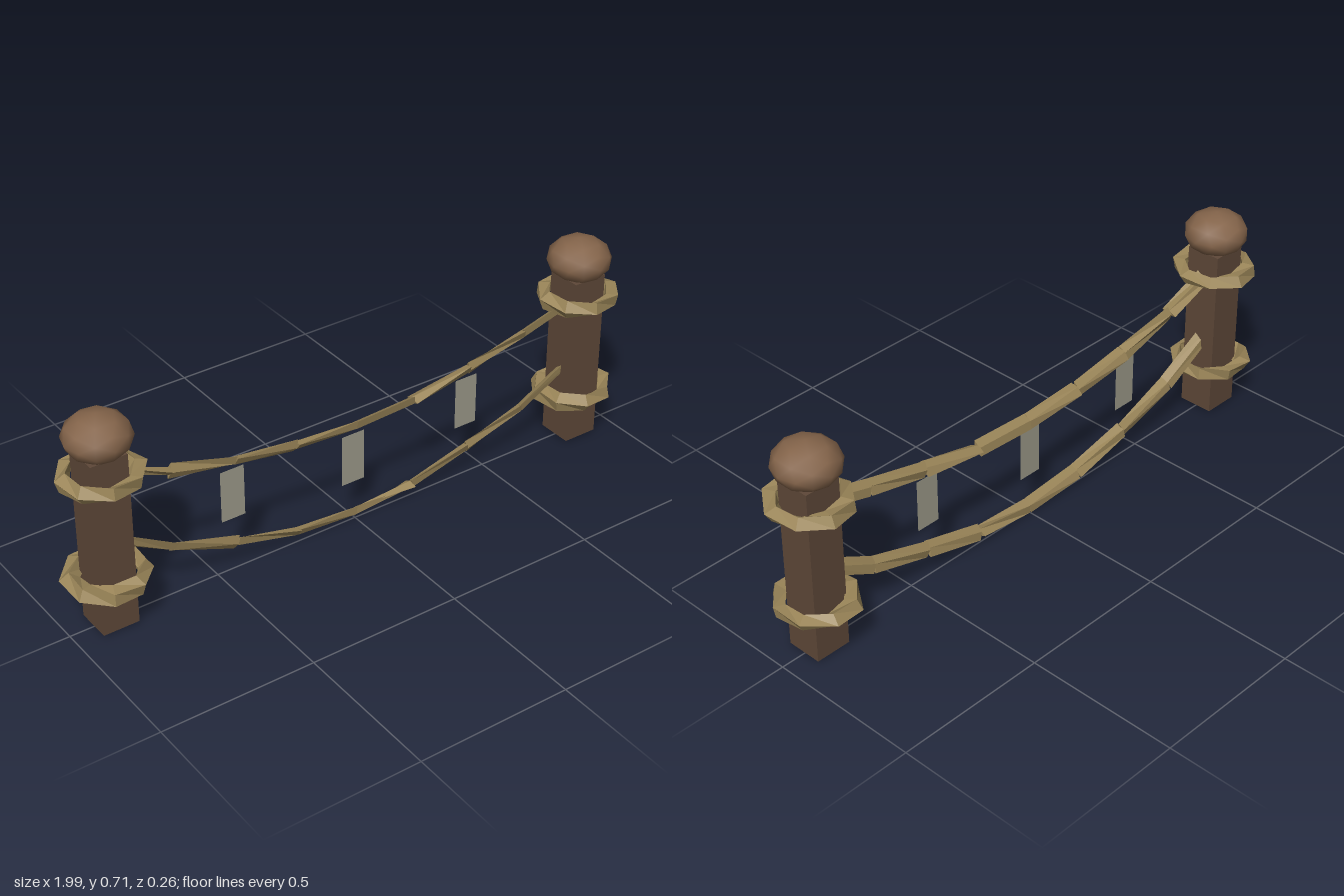
import * as THREE from 'three';

const postWood = new THREE.MeshStandardMaterial({ color: 0x5e4838 });
const knobWood = new THREE.MeshStandardMaterial({ color: 0x84644a });
const ropeTan = new THREE.MeshStandardMaterial({ color: 0x9a8558 });
const paper = new THREE.MeshStandardMaterial({ color: 0x9b9989, side: THREE.DoubleSide });
postWood.name = 'post wood';
knobWood.name = 'knob wood';
ropeTan.name = 'rope tan';
paper.name = 'paper';

function add(parent, name, geometry, material, x = 0, y = 0, z = 0) {
  const mesh = new THREE.Mesh(geometry, material);
  mesh.name = name;
  mesh.position.set(x, y, z);
  parent.add(mesh);
  return mesh;
}

// Diamond cross-section in the plane of u and v, turned by an angle in degrees
function diamond(center, u, v, degrees, width, thick) {
  const a = THREE.MathUtils.degToRad(degrees);
  return [0, 1, 2, 3].map((k) => {
    const c = Math.cos(k * Math.PI / 2) * width;
    const s = Math.sin(k * Math.PI / 2) * thick;
    return center.clone()
      .addScaledVector(u, c * Math.cos(a) - s * Math.sin(a))
      .addScaledVector(v, c * Math.sin(a) + s * Math.cos(a));
  });
}

// Flat-shaded skin over a row of four-point sections
function loft(sections, capped) {
  const pts = [];
  for (let i = 0; i < sections.length - 1; i++) {
    const s = sections[i], e = sections[i + 1];
    for (let k = 0; k < 4; k++) {
      const n = (k + 1) % 4;
      pts.push(s[k], s[n], e[n], s[k], e[n], e[k]);
    }
  }
  if (capped) {
    const s = sections[0], e = sections[sections.length - 1];
    pts.push(s[0], s[2], s[1], s[0], s[3], s[2], e[0], e[1], e[2], e[0], e[2], e[3]);
  }
  const geometry = new THREE.BufferGeometry().setFromPoints(pts);
  geometry.computeVertexNormals();
  return geometry;
}

// Twisted rope loop around a post
function loopGeometry() {
  const sections = [];
  const up = new THREE.Vector3(0, 1, 0);
  for (let i = 0; i <= 8; i++) {
    const t = (i / 8) * Math.PI * 2 + 0.2;
    const out = new THREE.Vector3(Math.cos(t), 0, Math.sin(t));
    sections.push(diamond(out.clone().multiplyScalar(0.11), out, up, 20 + i * 22.5, 0.031, 0.023));
  }
  return loft(sections, false);
}

// Hanging rope made of separately twisted lengths
function addRope(parent, name, heights, twists) {
  const rope = new THREE.Group();
  rope.name = name;
  const side = new THREE.Vector3(0, 0, 1);
  const points = heights.map((y, i) => new THREE.Vector3(-0.86 + i * 0.215, y, 0));
  twists.forEach(([from, to], i) => {
    const t = points[i + 1].clone().sub(points[i]).normalize();
    const normal = new THREE.Vector3(-t.y, t.x, 0);
    add(rope, 'ropeLength', loft([
      diamond(points[i], normal, side, from, 0.026, 0.012),
      diamond(points[i + 1], normal, side, to, 0.026, 0.012),
    ], true), ropeTan);
  });
  parent.add(rope);
}

export function createModel() {
  const model = new THREE.Group();
  model.name = 'ropeFence';

  // Posts with a rounded knob and two rope loops each
  for (const [side, x] of [['right', -0.863], ['left', 0.86]]) {
    const post = new THREE.Group();
    post.name = side + 'Post';
    post.position.x = x;
    add(post, 'postShaft', new THREE.BoxGeometry(0.118, 0.58, 0.118), postWood, 0, 0.298);
    const knob = new THREE.IcosahedronGeometry(0.103, 1).scale(1, 0.7, 1);
    add(post, 'knob', knob, knobWood, 0, 0.64);
    add(post, 'upperLoop', loopGeometry(), ropeTan, 0, 0.513);
    add(post, 'lowerLoop', loopGeometry(), ropeTan, 0, 0.17).rotation.y = side === 'left' ? 0.7 : 2.2;
    model.add(post);
  }

  // Sagging ropes
  addRope(model, 'upperRope',
    [0.52, 0.435, 0.385, 0.355, 0.342, 0.352, 0.39, 0.44, 0.5],
    [[40, 75], [0, 35], [50, 20], [60, 30], [35, 35], [88, 50], [10, 45], [30, 30]]);
  addRope(model, 'lowerRope',
    [0.29, 0.17, 0.095, 0.043, 0.028, 0.043, 0.1, 0.165, 0.28],
    [[30, 40], [35, 10], [30, 60], [50, 25], [20, 85], [30, 45], [10, 40], [35, 30]]);

  // Paper strips hanging from the upper rope
  for (const [x, y] of [[-0.438, 0.272], [-0.007, 0.228], [0.423, 0.272]]) {
    add(model, 'paperStrip', new THREE.PlaneGeometry(0.082, 0.175), paper, x, y);
  }
  return model;
}
